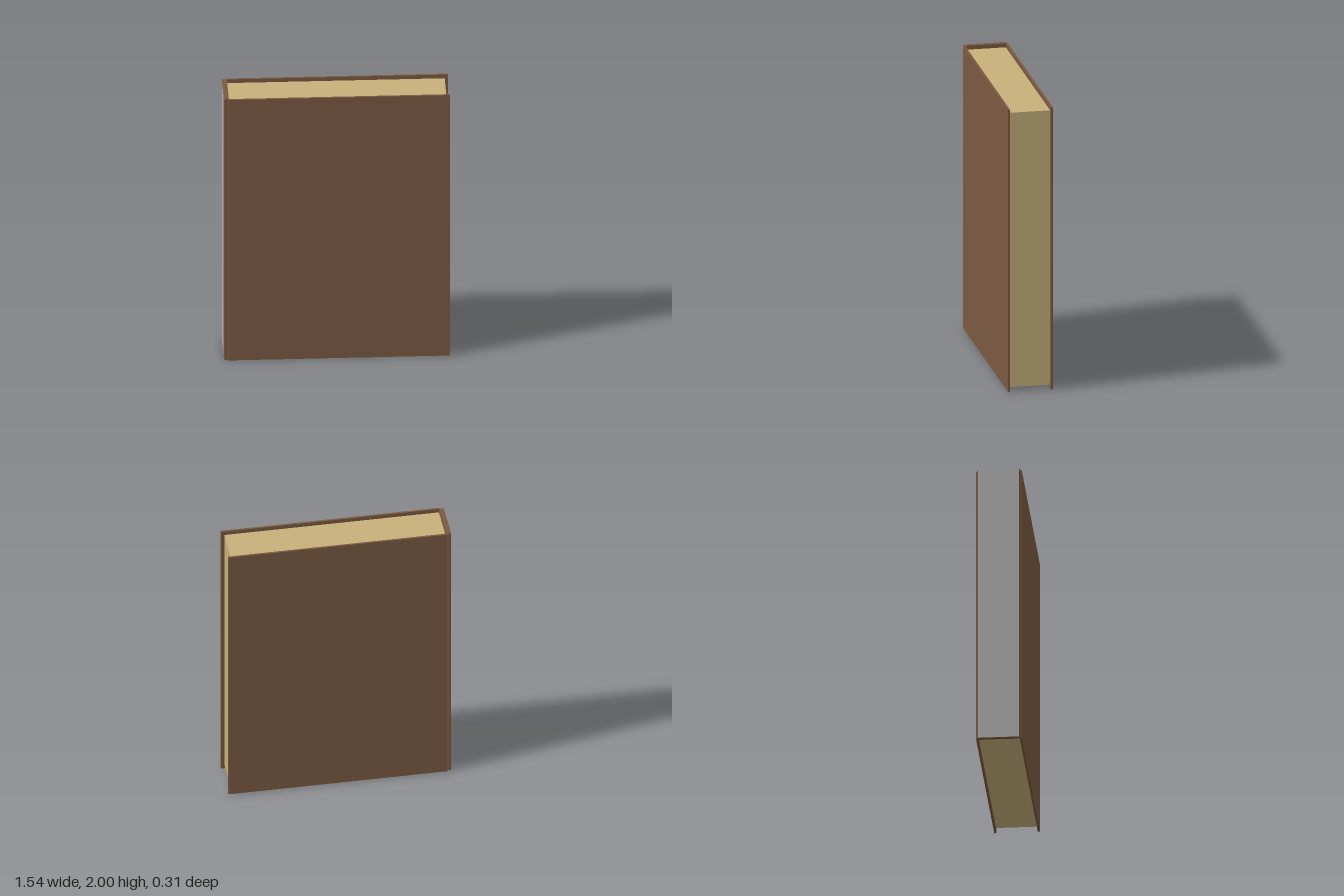
import * as THREE from 'three';

const brown = new THREE.MeshStandardMaterial({ color: 0x7b5a41 });
brown.name = 'brown cover';
const cream = new THREE.MeshStandardMaterial({ color: 0xc7b17b });
cream.name = 'cream paper';
const grey = new THREE.MeshStandardMaterial({ color: 0xb0b0b0 });
grey.name = 'grey spine';

const HEIGHT = 2;

function addPart(group, name, geometry, material, x, y, z) {
  const mesh = new THREE.Mesh(geometry, material);
  mesh.name = name;
  mesh.position.set(x, y, z);
  group.add(mesh);
}

export function createModel() {
  const book = new THREE.Group();
  book.name = 'book';

  // Binding: front half of the outline, from the spine round the hinge groove to the cover edge and back
  const half = [
    [-0.766, 0.14], [-0.763, 0.146], [-0.748, 0.146], [-0.742, 0.139], [-0.738, 0.155],
    [0.767, 0.155], [0.767, 0.141], [-0.733, 0.141],
  ];
  const mirrored = half.map(([x, z]) => [x, -z]).reverse();
  const outline = new THREE.Shape([...half, ...mirrored].map(([x, z]) => new THREE.Vector2(x, z)));
  const binding = new THREE.ExtrudeGeometry(outline, { depth: HEIGHT, bevelEnabled: false });
  binding.rotateX(-Math.PI / 2);
  addPart(book, 'binding', binding, brown, 0, 0, 0);

  // Outer face of the spine
  const spineFace = new THREE.PlaneGeometry(0.28, HEIGHT);
  spineFace.rotateY(-Math.PI / 2);
  addPart(book, 'spineFace', spineFace, grey, -0.768, HEIGHT / 2, 0);

  // Page block, set in from the cover edges
  addPart(book, 'pages', new THREE.BoxGeometry(1.475, 1.945, 0.28), cream, 0.006, 1.0, 0);

  return book;
}
